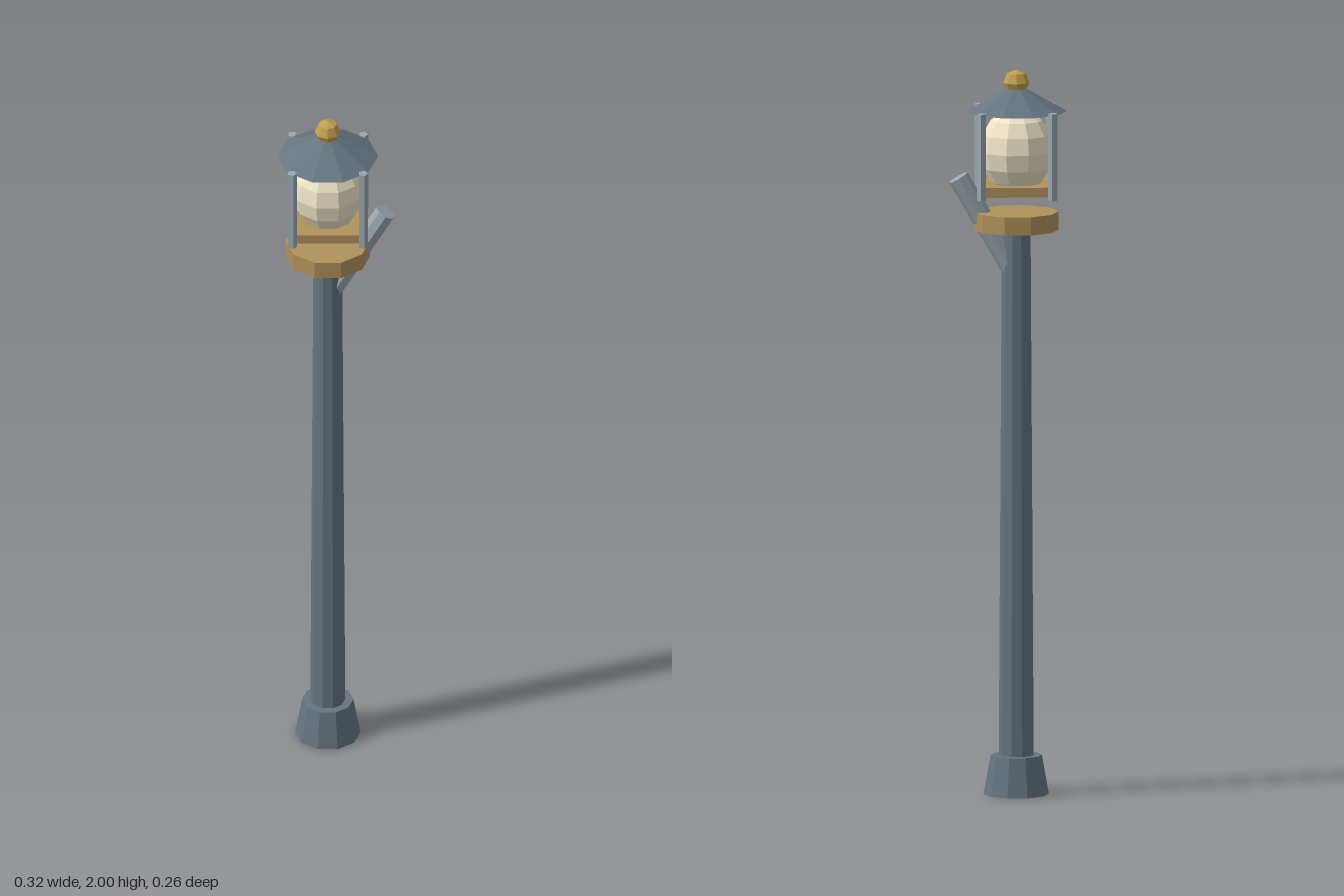
import * as THREE from 'three';

const material = (color) => new THREE.MeshStandardMaterial({ color, flatShading: true });

export function createModel() {
  const lamp = new THREE.Group();
  lamp.name = 'streetLamp';
  const slate = material(0x667581);
  const steel = material(0x9ba7b0);
  const brass = material(0xb0925c);
  const gold = material(0xc2a050);
  const cream = material(0xf0e6c8);
  const axisX = -0.025;

  const add = (name, geometry, mat, x, y, z = 0) => {
    const mesh = new THREE.Mesh(geometry, mat);
    mesh.name = name;
    mesh.position.set(x, y, z);
    lamp.add(mesh);
    return mesh;
  };

  // Faceted drum from y0 to y1 with a corner pointing along +x
  const drum = (name, mat, rBottom, rTop, y0, y1, sides = 10, x = axisX, z = 0) => {
    const geometry = new THREE.CylinderGeometry(rTop, rBottom, y1 - y0, sides);
    geometry.rotateY(Math.PI / 2);
    return add(name, geometry, mat, x, (y0 + y1) / 2, z);
  };

  // Pole and its collar
  drum('base', slate, 0.089, 0.07, 0, 0.108);
  drum('pole', slate, 0.048, 0.039, 0.05, 1.58);
  drum('collar', brass, 0.116, 0.116, 1.558, 1.608);

  // Lantern: square floor, globe, corner rods, roof and finial
  add('lanternFloor', new THREE.BoxGeometry(0.19, 0.027, 0.19), brass, axisX, 1.674);
  const globe = add('globe', new THREE.SphereGeometry(0.1, 10, 8), cream, axisX, 1.775);
  globe.scale.y = 1.2;
  for (const sx of [-1, 1]) {
    for (const sz of [-1, 1]) {
      drum('cornerRod', steel, 0.0135, 0.0135, 1.653, 1.892, 5, axisX + sx * 0.097, sz * 0.097);
    }
  }
  drum('roof', slate, 0.138, 0, 1.885, 1.963);
  add('finial', new THREE.SphereGeometry(0.036, 8, 4), gold, axisX, 1.964);

  // Slanted side arm rising out of the pole to the left
  const arm = add('sideArm', new THREE.CylinderGeometry(0.029, 0.029, 0.3, 8), steel, 0.058, 1.573);
  arm.rotation.z = -Math.PI / 6;

  return lamp;
}
